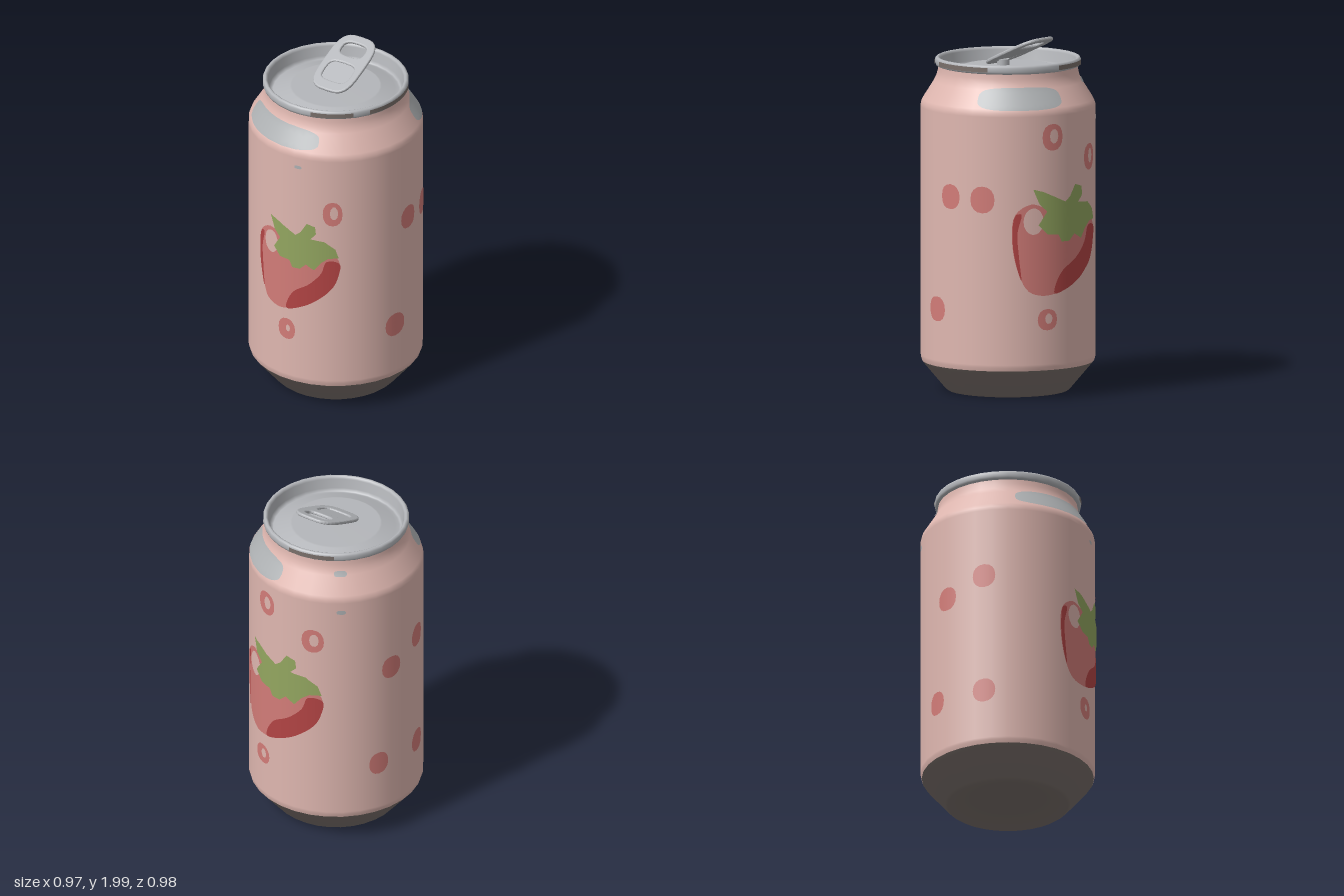
import * as THREE from 'three';

const SIDES = 32, R = 0.485, RAD = Math.PI / 180, STEP = 2 * Math.PI / SIDES;

function mat(name, color) {
  const m = new THREE.MeshStandardMaterial({ color });
  m.name = name;
  return m;
}

// Radius of the painted wall by height, from base edge to neck
const WALL = [[0.478, 0.165], [0.484, 0.185], [0.485, 0.2], [0.485, 1.59], [0.484, 1.61], [0.475, 1.632],
  [0.412, 1.732], [0.398, 1.76], [0.39, 1.79], [0.388, 1.825]];

function wallRadius(y) {
  for (let i = 1; i < WALL.length; i++) {
    const [r0, y0] = WALL[i - 1], [r1, y1] = WALL[i];
    if (y <= y1) return r0 + (r1 - r0) * (y - y0) / (y1 - y0);
  }
  return 0.388;
}

// Point on the many-sided wall, lifted slightly outward
function onWall(a, y, lift) {
  const k = ((a + STEP / 2) % STEP + STEP) % STEP - STEP / 2; // a facet faces straight ahead
  const r = wallRadius(y) * Math.cos(STEP / 2) / Math.cos(k) + lift;
  return [r * Math.sin(a), y, r * Math.cos(a)];
}

// Thin painted patch: a flat shape (angle * R, height) split finely and wrapped on the wall
function wrapShape(shape, lift) {
  const flat = new THREE.ShapeGeometry(shape), p = flat.attributes.position, idx = flat.index.array;
  const pos = [], nor = [];
  const emit = (v) => {
    const a = v.x / R, slope = (wallRadius(v.y + 0.015) - wallRadius(v.y - 0.015)) / 0.03;
    pos.push(...onWall(a, v.y, lift));
    nor.push(...new THREE.Vector3(Math.sin(a), -slope, Math.cos(a)).normalize().toArray());
  };
  // Halve the longest edge until the triangle is small
  const split = (a, b, c) => {
    const ab = a.distanceTo(b), bc = b.distanceTo(c), ca = c.distanceTo(a), longest = Math.max(ab, bc, ca);
    if (longest < 0.035) {
      [a, b, c].forEach(emit);
      return;
    }
    if (longest === bc) [a, b, c] = [b, c, a];
    else if (longest === ca) [a, b, c] = [c, a, b];
    const mid = a.clone().lerp(b, 0.5);
    split(a, mid, c);
    split(mid, b, c);
  };
  const at = (i) => new THREE.Vector2(p.getX(i), p.getY(i));
  for (let i = 0; i < idx.length; i += 3) split(at(idx[i]), at(idx[i + 1]), at(idx[i + 2]));
  const g = new THREE.BufferGeometry();
  g.setAttribute('position', new THREE.Float32BufferAttribute(pos, 3));
  g.setAttribute('normal', new THREE.Float32BufferAttribute(nor, 3));
  return g;
}

function smoothLoop(pts) {
  const c = new THREE.CatmullRomCurve3(pts.map(([x, y]) => new THREE.Vector3(x, y, 0)), true);
  return c.getPoints(pts.length * 4).slice(0, -1).map((v) => new THREE.Vector2(v.x, v.y));
}

function ovalPoints(x, y, rx, ry, n = 18, power = 1) {
  return Array.from({ length: n }, (_, i) => {
    const t = i / n * 2 * Math.PI, c = Math.cos(t), s = Math.sin(t);
    return new THREE.Vector2(x + rx * Math.sign(c) * Math.abs(c) ** power, y + ry * Math.sign(s) * Math.abs(s) ** power);
  });
}

// Berry drawing as seen from the front
const BERRY = [[-0.19, 1.05], [-0.205, 0.9], [-0.175, 0.73], [-0.13, 0.64], [-0.06, 0.615], [0.03, 0.63], [0.17, 0.7],
  [0.26, 0.8], [0.29, 0.93], [0.27, 0.99], [0.1, 1.02], [-0.05, 1.08], [-0.12, 1.1]];
const SHADE = [[0.288, 0.95], [0.284, 0.87], [0.255, 0.79], [0.17, 0.702], [0.08, 0.648], [0, 0.624],
  [0.005, 0.67], [0.05, 0.745], [0.13, 0.8], [0.2, 0.88], [0.23, 0.96]];
const EDGE = [[-0.165, 1.05], [-0.19, 1.045], [-0.203, 0.9], [-0.185, 0.77], [-0.165, 0.7], [-0.175, 0.82], [-0.182, 0.95]];
const LEAF = [[-0.11, 1.18], [-0.08, 1.1], [-0.04, 1.06], [-0.085, 0.99], [-0.04, 0.94], [0.02, 0.935], [0.04, 0.895],
  [0.085, 0.895], [0.12, 0.93], [0.165, 0.9], [0.2, 0.95], [0.235, 0.98], [0.285, 0.985], [0.27, 1.04], [0.22, 1.085],
  [0.145, 1.095], [0.175, 1.13], [0.17, 1.175], [0.125, 1.19], [0.09, 1.13], [0.06, 1.105], [0, 1.135], [-0.06, 1.165]];

export function createModel() {
  const can = new THREE.Group();
  can.name = 'drinkCan';
  const pink = mat('pinkPaint', 0xdfb7b0), base = mat('darkBase', 0x7a706b), metal = mat('metal', 0xb4b6ba);
  const red = mat('lightRed', 0xd27c78), darkRed = mat('darkRed', 0xb24444), green = mat('leafGreen', 0x93a660);
  const grey = mat('greyPaint', 0xaeb1b3);
  const add = (name, geo, m, parent = can) => {
    const mesh = new THREE.Mesh(geo, m);
    mesh.name = name;
    parent.add(mesh);
  };
  const lathe = (pts) => new THREE.LatheGeometry(pts.map(([r, y]) => new THREE.Vector2(r, y)), SIDES, STEP / 2);

  // Can shell
  add('base', lathe([[0, 0.07], [0.18, 0.055], [0.29, 0.022], [0.325, 0], [0.335, 0], [0.35, 0.012],
    [0.465, 0.148], [0.478, 0.165]]), base);
  add('wall', lathe(WALL), pink);
  add('lidAndRim', lathe([[0.386, 1.815], [0.401, 1.82], [0.406, 1.832], [0.406, 1.852], [0.401, 1.862], [0.392, 1.866],
    [0.383, 1.862], [0.377, 1.85], [0.37, 1.795], [0.362, 1.778], [0.35, 1.778], [0.33, 1.786],
    [0.255, 1.811], [0.245, 1.814], [0, 1.815]]), metal);

  // Dark wear marks around the rim
  for (const [from, to] of [[14, 48], [62, 115], [175, 213]]) {
    const g = new THREE.CylinderGeometry(0.4085, 0.4085, 0.026, 16, 1, true, from * RAD, (to - from) * RAD);
    add('rimMark', g.translate(0, 1.841, 0), base);
  }

  // Grey patches on the shoulder: start and end angle, low and high edge
  for (const [a0, a1, y0, y1] of [[-57, 22, 1.635, 1.745], [109, 172, 1.625, 1.745], [-147, -137, 1.725, 1.755],
    [6, 11, 1.525, 1.545], [-145, -139, 1.52, 1.545]]) {
    const pts = ovalPoints((a0 + a1) / 2 * RAD * R, (y0 + y1) / 2, (a1 - a0) / 2 * RAD * R, (y1 - y0) / 2, 28, 0.6);
    add('greyPatch', wrapShape(new THREE.Shape(pts), 0.004), grey);
  }

  // Two painted berries, front and back
  const berry = (place) => {
    const g = new THREE.Group();
    g.name = 'berry';
    can.add(g);
    const layer = (name, pts, lift, m) =>
      add(name, wrapShape(new THREE.Shape(pts.map((v) => new THREE.Vector2(...place(v.x, v.y)))), lift), m, g);
    layer('berryBody', smoothLoop(BERRY), 0.003, red);
    layer('berryShade', smoothLoop(SHADE), 0.0055, darkRed);
    layer('berryEdge', smoothLoop(EDGE), 0.0055, darkRed);
    layer('berryHighlight', ovalPoints(-0.107, 1.01, 0.048, 0.07), 0.0055, pink);
    layer('berryLeaf', LEAF.map((p) => new THREE.Vector2(...p)), 0.008, green);
  };
  const angle = (x) => Math.asin(x / R);
  berry((x, y) => [angle(x) * R, y]);
  berry((x, y) => [(135 * RAD + (angle(x) + 24 * RAD) * 1.17) * R, 0.585 + (y - 0.615) * 1.06]);

  // Scattered drops: angle, height, half width, half height, open centre
  for (const [a, y, w, h, open] of [[32, 1.26, 0.055, 0.075, 1], [0, 0.49, 0.055, 0.065, 0.6], [77, 0.49, 0.07, 0.07, 0],
    [90, 1.13, 0.065, 0.07, 0], [114, 1.125, 0.07, 0.075, 0], [162, 1.47, 0.065, 0.075, 1], [199, 1.33, 0.065, 0.075, 1],
    [158, 0.45, 0.06, 0.06, 0.9], [-78, 1.19, 0.065, 0.07, 0], [-106, 1.1, 0.065, 0.07, 0],
    [-78, 0.49, 0.065, 0.07, 0], [-116, 0.49, 0.06, 0.07, 0]]) {
    const x = a * RAD * R;
    const shape = new THREE.Shape(ovalPoints(x, y, w, h, 16, 0.9));
    if (open) shape.holes.push(new THREE.Path(ovalPoints(x + 0.008, y + 0.005, w * 0.42 * open, h * 0.55 * open, 10)));
    add('drop', wrapShape(shape, 0.003), red);
  }

  // Pull tab, tilted up towards the back
  const tab = new THREE.Group();
  tab.name = 'pullTab';
  tab.position.set(0, 1.906, -0.085);
  tab.rotation.x = -66 * RAD;
  can.add(tab);
  const plate = new THREE.Shape(ovalPoints(0, 0, 0.12, 0.192, 32, 0.55));
  plate.holes.push(new THREE.Path(ovalPoints(0, 0.1, 0.085, 0.058, 20, 0.7)));
  plate.holes.push(new THREE.Path(ovalPoints(0, -0.066, 0.096, 0.078, 20, 0.6)));
  const ring = new THREE.ExtrudeGeometry(plate, { depth: 0.006, bevelThickness: 0.007, bevelSize: 0.009, bevelSegments: 3 });
  add('tabRing', ring.translate(0, 0, -0.003), metal, tab);
  const inset = new THREE.ExtrudeGeometry(new THREE.Shape(ovalPoints(0, -0.066, 0.098, 0.08, 20, 0.6)),
    { depth: 0.006, bevelEnabled: false });
  add('tabInset', inset.translate(0, 0, -0.006), metal, tab);
  add('rivet', new THREE.CylinderGeometry(0.035, 0.035, 0.035, 16).translate(0, 1.83, 0.035), metal);

  return can;
}
